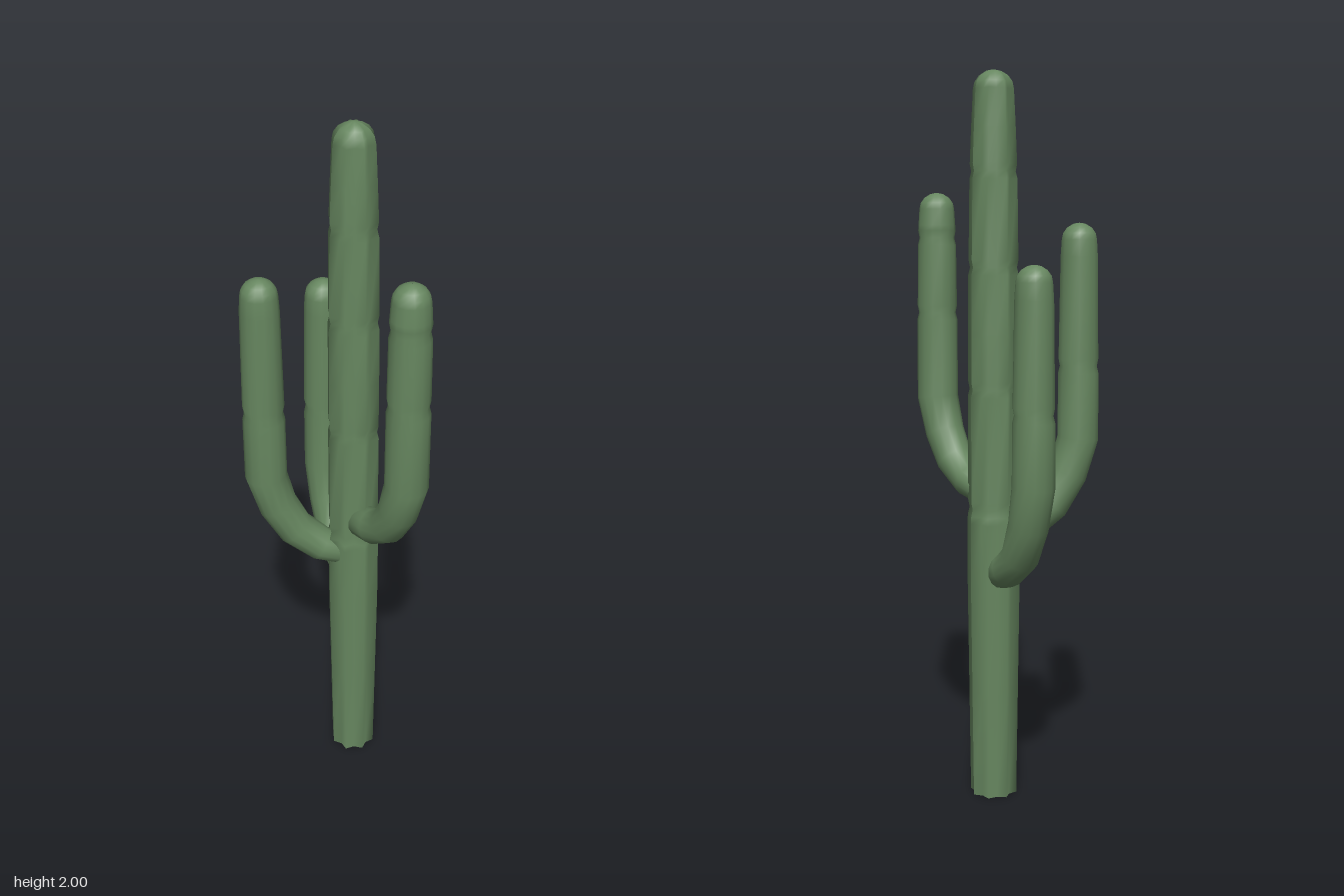
import * as THREE from 'three';

const green = new THREE.MeshStandardMaterial({ color: 0x66865f });

// Sweeps rings along a path in the vertical plane through "angle".
// Each row is [distance from axis, height, radius]; ribs > 0 makes a star section.
function sweep(name, rows, sides, angle, origin, ribs = 0) {
  const dir = new THREE.Vector3(Math.cos(angle), 0, Math.sin(angle));
  const up = new THREE.Vector3(0, 1, 0);
  const side = new THREE.Vector3().crossVectors(up, dir);
  const pos = [], index = [];
  rows.forEach(([d, y, r], i) => {
    const a = rows[Math.max(i - 1, 0)], b = rows[Math.min(i + 1, rows.length - 1)];
    const t = new THREE.Vector2(b[0] - a[0], b[1] - a[1]);
    if (t.length() < 1e-6) t.set(0, 1);
    t.normalize();
    const normal = dir.clone().multiplyScalar(t.y).addScaledVector(up, -t.x);
    const centre = origin.clone().addScaledVector(dir, d).addScaledVector(up, y);
    for (let j = 0; j < sides; j++) {
      const q = j / sides * Math.PI * 2;
      const rr = r * (j % 2 ? 1 - ribs : 1);
      const p = centre.clone().addScaledVector(normal, Math.cos(q) * rr).addScaledVector(side, Math.sin(q) * rr);
      pos.push(p.x, p.y, p.z);
      if (i < rows.length - 1) {
        const k = i * sides + j, l = i * sides + (j + 1) % sides;
        index.push(k, l, l + sides, k, l + sides, k + sides);
      }
    }
  });
  const geo = new THREE.BufferGeometry();
  geo.setAttribute('position', new THREE.Float32BufferAttribute(pos, 3));
  geo.setIndex(index);
  geo.computeVertexNormals();
  const mesh = new THREE.Mesh(geo, green);
  mesh.name = name;
  return mesh;
}

// Rounded tip ending at height "top"
function dome(d, top, r, h) {
  return [0, 0.25, 0.5, 0.75, 0.92, 1].map(s => {
    const a = s * Math.PI / 2;
    return [d, top - h + h * Math.sin(a), Math.max(r * Math.cos(a), 0.0005)];
  });
}

// Shallow crease between two growth segments
const pinch = (d, y, r) => [[d, y - 0.02, r], [d, y, r - 0.005], [d, y + 0.02, r - 0.001]];

export function createModel() {
  const group = new THREE.Group();
  group.name = 'cactus';
  const origin = new THREE.Vector3(0.01, 0, 0.005);

  // Ribbed trunk with a closed foot
  group.add(sweep('trunk', [
    [0, 0, 0.0005], [0, 0, 0.066], [0, 0, 0.066],
    [0, 0.3, 0.07], [0, 0.6, 0.074], [0, 0.78, 0.074],
    ...pinch(0, 0.82, 0.073), ...pinch(0, 1.15, 0.072),
    [0, 1.3, 0.071], ...pinch(0, 1.48, 0.07),
    ...pinch(0, 1.735, 0.066), [0, 1.85, 0.061],
    ...dome(0, 2, 0.056, 0.05),
  ], 16, 0, origin, 0.2));

  // Arms: tip position, bend of the elbow, creases and top
  const arms = [
    { name: 'leftArm', x: 0.207, z: 0.16, top: 1.685, creases: [1.35, 1.56],
      bend: [[0.1, 0.865], [0.42, 0.885], [0.69, 0.935], [0.87, 1.01], [1, 1.11]] },
    { name: 'rightArm', x: -0.21, z: 0.097, top: 1.6, creases: [1.21],
      bend: [[0.1, 0.745], [0.38, 0.765], [0.68, 0.825], [0.88, 0.91], [1, 1.01]] },
    { name: 'backArm', x: -0.133, z: -0.16, top: 1.49, creases: [1.1],
      bend: [[0.1, 0.64], [0.38, 0.66], [0.68, 0.71], [0.88, 0.8], [1, 0.91]] },
  ];
  for (const { name, x, z, top, creases, bend } of arms) {
    const dx = x - origin.x, dz = z - origin.z, len = Math.hypot(dx, dz);
    const rows = [[bend[0][0] * len - 0.005, bend[0][1], 0.0005],
      ...bend.map(([f, y], i) => [f * len, y, 0.046 + 0.003 * i])];
    creases.forEach((y, i) => rows.push(...pinch(len, y, 0.057 - 0.003 * i)));
    rows.push([len, top - 0.09, 0.052], ...dome(len, top, 0.049, 0.045));
    group.add(sweep(name, rows, 14, Math.atan2(dz, dx), origin));
  }
  return group;
}
